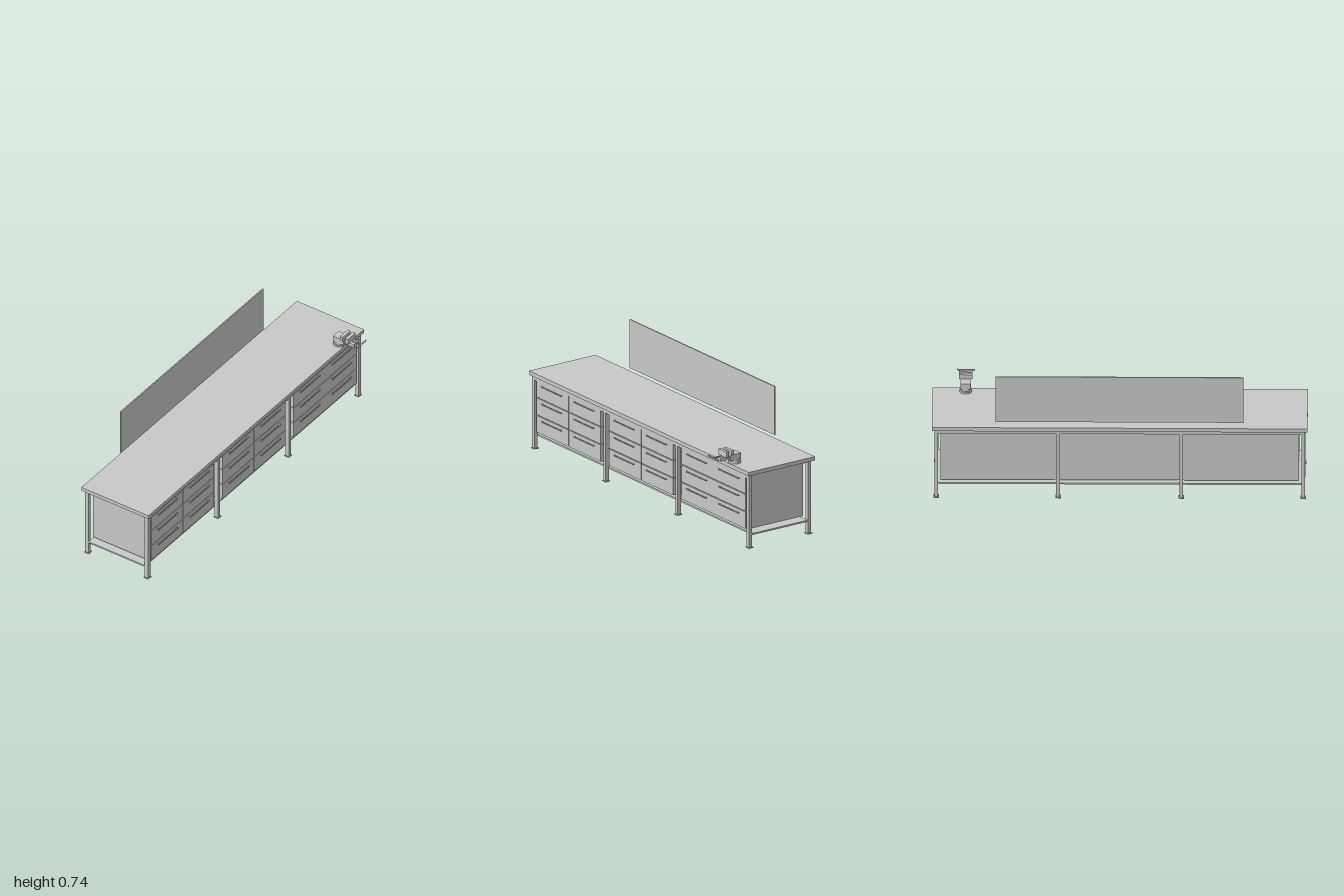
import * as THREE from 'three';
import { mergeGeometries } from 'three/addons/utils/BufferGeometryUtils.js';

const grey = new THREE.MeshStandardMaterial({ color: 0xc8c8c8 });
grey.name = 'light grey';

// box geometry from its min and max on each axis
function span(x0, x1, y0, y1, z0, z1) {
  const g = new THREE.BoxGeometry(x1 - x0, y1 - y0, z1 - z0);
  g.translate((x0 + x1) / 2, (y0 + y1) / 2, (z0 + z1) / 2);
  return g;
}

function add(parent, name, geometry) {
  const mesh = new THREE.Mesh(geometry, grey);
  mesh.name = name;
  parent.add(mesh);
  return mesh;
}

function group(parent, name) {
  const g = new THREE.Group();
  g.name = name;
  parent.add(g);
  return g;
}

// worktop of staggered butcher blocks
function buildWorktop(parent) {
  const rows = 20, z0 = -0.273, z1 = 0.163, pitch = (z1 - z0) / rows, length = 0.1;
  const blocks = [];
  for (let r = 0; r < rows; r++) {
    let x = -1;
    let next = r % 2 ? -1 + length / 2 : -1 + length;
    while (x < 0.999) {
      const end = Math.min(next, 1);
      blocks.push(span(x, end, 0.413, 0.435, z0 + r * pitch, z0 + (r + 1) * pitch));
      x = end;
      next = x + length;
    }
  }
  add(parent, 'worktop', mergeGeometries(blocks));
}

// legs with foot plates, top rails and the bottom shelf
function buildFrame(parent) {
  const frame = group(parent, 'frame');
  for (const z of [0.141, -0.246]) {
    for (const x of [-0.977, -0.328, 0.328, 0.977]) {
      add(frame, 'leg', span(x - 0.01, x + 0.01, 0.005, 0.39, z - 0.011, z + 0.011));
      add(frame, 'footPlate', span(x - 0.015, x + 0.015, 0, 0.005, z - 0.015, z + 0.015));
    }
    add(frame, 'topRail', span(-0.987, 0.987, 0.39, 0.413, z - 0.011, z + 0.011));
  }
  add(frame, 'bottomShelf', span(-0.987, 0.987, 0.071, 0.08, -0.235, 0.13));
}

// cabinet with two columns of three drawers
function buildCabinet(parent, cx) {
  const cabinet = group(parent, 'cabinet');
  add(cabinet, 'carcass', span(cx - 0.294, cx + 0.294, 0.095, 0.395, -0.227, 0.13));
  for (const side of [-1, 1]) {
    const x = cx + side * 0.147;
    for (let row = 0; row < 3; row++) {
      const y = 0.1 + row * 0.099;
      add(cabinet, 'drawerFront', span(x - 0.145, x + 0.145, y, y + 0.094, 0.13, 0.148));
      const handleY = 0.175 + row * 0.098;
      add(cabinet, 'drawerHandle', span(x - 0.09, x + 0.09, handleY - 0.0025, handleY + 0.0025, 0.154, 0.159));
      for (const end of [-1, 1]) {
        const px = x + end * 0.085;
        add(cabinet, 'handlePost', span(px - 0.003, px + 0.003, handleY - 0.002, handleY + 0.002, 0.148, 0.155));
      }
    }
  }
}

// bench vise on the front left corner
function buildVise(parent) {
  const vise = group(parent, 'vise');
  vise.position.x = 0.823;
  const disc = (name, r, y0, y1, z) =>
    add(vise, name, new THREE.CylinderGeometry(r, r, y1 - y0, 24)).position.set(0, (y0 + y1) / 2, z);
  disc('base', 0.033, 0.435, 0.446, 0.126);
  disc('swivel', 0.028, 0.446, 0.457, 0.13);
  add(vise, 'body', span(-0.027, 0.027, 0.457, 0.492, 0.104, 0.174));
  add(vise, 'slide', span(-0.018, 0.018, 0.465, 0.485, 0.174, 0.234));
  add(vise, 'rearJaw', span(-0.036, 0.036, 0.492, 0.518, 0.156, 0.174));
  add(vise, 'frontJaw', span(-0.036, 0.036, 0.485, 0.518, 0.189, 0.207));
  // screw and crossbar
  const screw = add(vise, 'screw', new THREE.CylinderGeometry(0.003, 0.003, 0.055, 12));
  screw.rotation.x = Math.PI / 2;
  screw.position.set(0, 0.488, 0.239);
  const bar = add(vise, 'crossbar', new THREE.CylinderGeometry(0.004, 0.004, 0.096, 12));
  bar.rotation.z = Math.PI / 2;
  bar.position.set(0, 0.488, 0.267);
}

export function createModel() {
  const model = new THREE.Group();
  model.name = 'workbench';
  buildWorktop(model);
  buildFrame(model);
  for (const x of [-0.66, 0, 0.66]) buildCabinet(model, x);
  add(model, 'backSheet', span(-0.954, 0.954, 0.095, 0.395, -0.229, -0.22));
  add(model, 'backboard', span(-0.66, 0.66, 0.463, 0.737, -0.259, -0.252));
  buildVise(model);
  return model;
}
